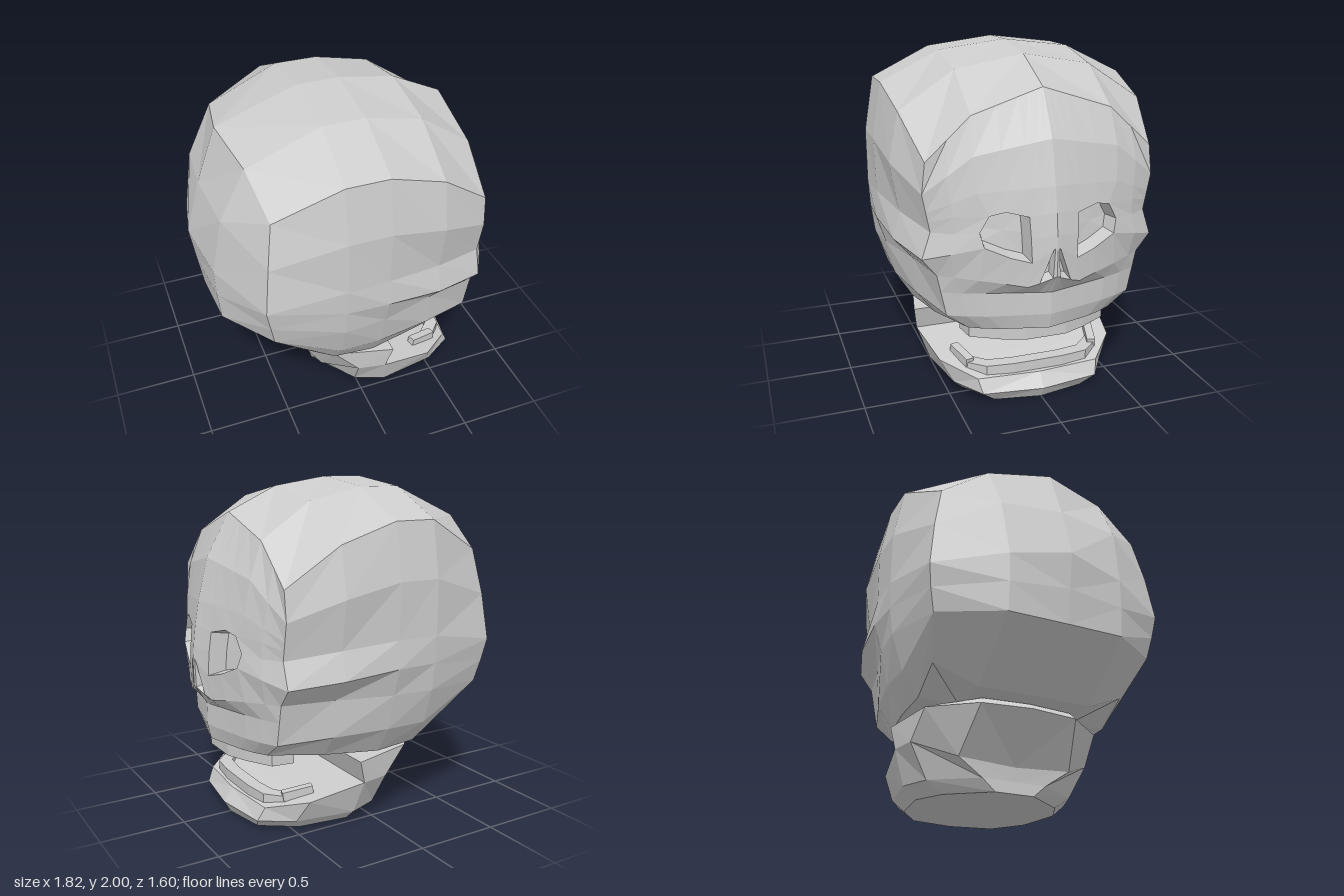
import * as THREE from 'three';

const material = new THREE.MeshStandardMaterial({ color: 0xcccccc, flatShading: true, side: THREE.DoubleSide });

// Piecewise linear lookup in [[key, value], ...] with rising keys
function lookup(table, k) {
  let i = 1;
  while (i < table.length - 1 && k > table[i][0]) i++;
  const [a, b] = [table[i - 1], table[i]];
  const t = THREE.MathUtils.clamp((k - a[0]) / (b[0] - a[0]), 0, 1);
  return a[1] + (b[1] - a[1]) * t;
}

// Quads between rows of [x, y, z] points, mirrored over z = 0
function mirroredMesh(name, rows, skip = () => false) {
  const pos = [];
  const tri = (a, b, c) => {
    pos.push(...a, ...b, ...c);
    for (const p of [a, c, b]) pos.push(p[0], p[1], -p[2]);
  };
  for (let i = 0; i < rows.length - 1; i++) {
    for (let j = 0; j < rows[i].length - 1; j++) {
      if (skip(i, j)) continue;
      const a = rows[i][j], b = rows[i + 1][j], c = rows[i][j + 1], d = rows[i + 1][j + 1];
      tri(a, c, d);
      tri(a, d, b);
    }
  }
  const geo = new THREE.BufferGeometry();
  geo.setAttribute('position', new THREE.Float32BufferAttribute(pos, 3));
  geo.computeVertexNormals();
  const mesh = new THREE.Mesh(geo, material);
  mesh.name = name;
  return mesh;
}

// Recess behind a hole: sloped walls and a floor
function recess(name, loop, depth, shrink) {
  const ring = [...loop, loop[0]];
  const mid = [0, 1, 2].map(k => loop.reduce((s, p) => s + p[k], 0) / loop.length);
  const inner = ring.map(p => [p[0] - depth, ...[1, 2].map(k => mid[k] + (p[k] - mid[k]) * shrink)]);
  const centre = ring.map(() => [mid[0] - depth, mid[1], mid[2]]);
  return mirroredMesh(name, [ring, inner, centre]);
}

// Curved strip of teeth: half outline of [x, z] from back to front centre
function toothArch(name, half, width, y0, y1) {
  const outer = [...half, ...half.slice(0, -1).reverse().map(([x, z]) => [x, -z])];
  const inner = outer.map(([x, z]) => [x - (Math.abs(z) < half[0][1] ? width : 0), z * (1 - width)]).reverse();
  const shape = new THREE.Shape([...outer, ...inner].map(([x, z]) => new THREE.Vector2(x, -z)));
  const geo = new THREE.ExtrudeGeometry(shape, { depth: y1 - y0, bevelEnabled: false });
  geo.rotateX(-Math.PI / 2).translate(0, y0, 0);
  const mesh = new THREE.Mesh(geo, material);
  mesh.name = name;
  return mesh;
}

function buildCranium() {
  // Cross-sections from crown centre, down the side, to the base centre
  const at = (x, list) => list.map(([z, y]) => [x, y, z]);
  const rear = [
    [-0.70, 1.83, 0], [-0.64, 1.77, 0.38], [-0.59, 1.59, 0.65], [-0.63, 1.33, 0.70], [-0.66, 1.06, 0.73],
    [-0.635, 0.93, 0.71], [-0.61, 0.80, 0.68], [-0.61, 0.80, 0.68], [-0.42, 0.60, 0.60],
    [-0.47, 0.49, 0.35], [-0.48, 0.49, 0],
  ];
  const sections = [
    rear,
    at(-0.22, [[0, 2], [0.4, 1.95], [0.745, 1.78], [0.8, 1.46], [0.8, 1.14], [0.79, 0.98],
      [0.77, 0.82], [0.70, 0.61], [0.6, 0.47], [0.35, 0.46], [0, 0.45]]),
    at(0.03, [[0, 2], [0.4, 1.95], [0.745, 1.78], [0.8, 1.46], [0.79, 1.14], [0.8, 0.98],
      [0.75, 0.82], [0.70, 0.61], [0.6, 0.45], [0.35, 0.44], [0, 0.43]]),
    at(0.36, [[0, 1.95], [0.4, 1.88], [0.72, 1.67], [0.775, 1.39], [0.73, 1.11], [0.77, 0.95],
      [0.66, 0.82], [0.64, 0.6], [0.54, 0.47], [0.35, 0.47], [0, 0.46]]),
    at(0.66, [[0, 1.81], [0.4, 1.68], [0.65, 1.45], [0.67, 1.28], [0.63, 1.07], [0.68, 0.92],
      [0.6, 0.82], [0.55, 0.58], [0.43, 0.49], [0.35, 0.49], [0, 0.49]]),
  ];
  // Back of the head, closed down to the base
  const back = [
    [rear[2], rear[1], rear[0]],
    [rear[3], [-0.79, 1.47, 0.37], [-0.82, 1.50, 0]],
    [rear[4], [-0.85, 1.12, 0.35], [-0.91, 1.18, 0]],
    [rear[5], [-0.845, 0.95, 0.35], [-0.88, 0.97, 0]],
    [rear[6], [-0.83, 0.78, 0.35], [-0.85, 0.77, 0]],
    [rear[8], rear[9], rear[10]],
  ];
  return [mirroredMesh('cranium', sections), mirroredMesh('backOfHead', back)];
}

function buildFace() {
  const cornerZ = [[0.49, 0.43], [0.58, 0.55], [0.82, 0.6], [0.92, 0.68], [1.07, 0.63], [1.28, 0.67], [1.45, 0.65]];
  const bulge = [[0, 1], [0.22, 0.84], [0.6, 0.56], [0.82, 0.3], [1, 0]];
  const columns = [0, 0.03, 0.08, 0.14, 0.26, 0.4, 0.53, 0.65];
  // Row given by its front x, its z columns and its heights
  const row = (frontX, zs, ys) => {
    const edge = lookup(cornerZ, ys[7]);
    return ys.map((y, j) => {
      const z = j === 7 ? edge : zs[j];
      return [0.66 + (frontX - 0.66) * lookup(bulge, z / edge), y, z];
    });
  };
  // Plain row from heights at the centre, middle and corner
  const plain = (frontX, y0, y1, y2) => {
    const k = lookup(cornerZ, y2) / 0.65;
    return row(frontX, columns.map(z => z * k), columns.map(z => lookup([[0, y0], [0.4, y1], [0.65, y2]], z)));
  };
  const rows = [
    plain(0.66, 1.81, 1.68, 1.45),
    plain(0.80, 1.56, 1.48, 1.28),
    plain(0.86, 1.32, 1.29, 1.18),
    row(0.885, [0, 0.03, 0.08, 0.14, 0.26, 0.345, 0.52], [1.18, 1.18, 1.17, 1.16, 1.19, 1.17, 1.16, 1.13]),
    row(0.90, [0, 0.03, 0.08, 0.135, 0.26, 0.395, 0.52], [1.06, 1.06, 1.05, 1.05, 1.06, 1.08, 1.07, 1.07]),
    row(0.905, [0, 0.012, 0.02, 0.13, 0.24, 0.375, 0.54], [0.99, 0.99, 0.98, 0.91, 0.94, 1.0, 0.96, 0.92]),
    row(0.905, [0, 0.02, 0.09, 0.15, 0.26, 0.40, 0.52], [0.83, 0.82, 0.79, 0.77, 0.79, 0.81, 0.82, 0.82]),
    plain(0.83, 0.71, 0.72, 0.72),
    plain(0.83, 0.58, 0.58, 0.58),
    plain(0.81, 0.49, 0.49, 0.49),
  ];
  // Underside of the upper jaw
  rows.push(rows[9].map(([, y, z]) => [0.66, y, z]));
  const eyeCell = (i, j) => (i === 3 || i === 4) && (j === 3 || j === 4);
  const noseCell = (i, j) => i === 5 && j === 1;
  const pick = list => list.map(([i, j]) => rows[i][j]);
  return [
    mirroredMesh('face', rows, (i, j) => eyeCell(i, j) || noseCell(i, j)),
    recess('eyeSockets', pick([[3, 3], [4, 3], [5, 3], [5, 4], [5, 5], [4, 5], [3, 5], [3, 4]]), 0.1, 0.85),
    recess('nostrils', pick([[5, 1], [6, 1], [6, 2], [5, 2]]), 0.06, 0.75),
  ];
}

function buildJaw() {
  const flatten = r => r.map(([x, y]) => [x, y, 0]);
  // Solid body: base, chin line and upper rim, each from back to front
  const base = [[-0.21, 0, 0], [-0.21, 0, 0.12], [-0.03, 0, 0.36], [0.15, 0, 0.45], [0.45, 0, 0.41], [0.65, 0, 0.27], [0.70, 0, 0]];
  const chin = [[-0.21, 0.07, 0], [-0.21, 0.07, 0.2], [-0.03, 0.07, 0.46], [0.15, 0.07, 0.53], [0.5, 0.07, 0.47],
    [0.69, 0.07, 0.35], [0.74, 0.07, 0]];
  const rim = [[-0.22, 0.15, 0], [-0.22, 0.17, 0.35], [-0.05, 0.27, 0.57], [0.12, 0.27, 0.60], [0.45, 0.20, 0.54],
    [0.65, 0.15, 0.37], [0.68, 0.15, 0]];
  // Rear block rising to the hinge
  const low = [rim[0], rim[1], rim[2], rim[3], [0.12, 0.27, 0]];
  const high = [[-0.44, 0.43, 0], [-0.40, 0.43, 0.3], [-0.2, 0.43, 0.55], [0.16, 0.41, 0.62], [0.16, 0.41, 0]];
  const hinge = [[-0.40, 0.47, 0], [-0.37, 0.47, 0.28], [-0.2, 0.46, 0.46], [0, 0.42, 0.5], [0, 0.42, 0]];
  return [
    mirroredMesh('lowerJaw', [flatten(base), base, chin, rim, flatten(rim)]),
    mirroredMesh('jawHinge', [low, high, hinge, flatten(hinge)]),
  ];
}

export function createModel() {
  const group = new THREE.Group();
  group.name = 'skull';
  group.add(...buildCranium(), ...buildFace(), ...buildJaw());
  group.add(
    toothArch('upperTeeth', [[0.49, 0.43], [0.62, 0.41], [0.71, 0.25], [0.76, 0.12], [0.76, 0]], 0.1, 0.41, 0.50),
    toothArch('lowerTeeth', [[0.37, 0.46], [0.54, 0.41], [0.63, 0.31], [0.65, 0.15], [0.65, 0]], 0.08, 0.14, 0.21),
  );
  // Raised rear ends of the lower teeth
  for (const side of [1, -1]) {
    const end = new THREE.Mesh(new THREE.BoxGeometry(0.18, 0.05, 0.05), material);
    end.name = 'lowerBackTeeth';
    end.position.set(0.46, 0.22, side * 0.41);
    end.rotation.set(0, side * 0.28, -0.15);
    group.add(end);
  }
  return group;
}
